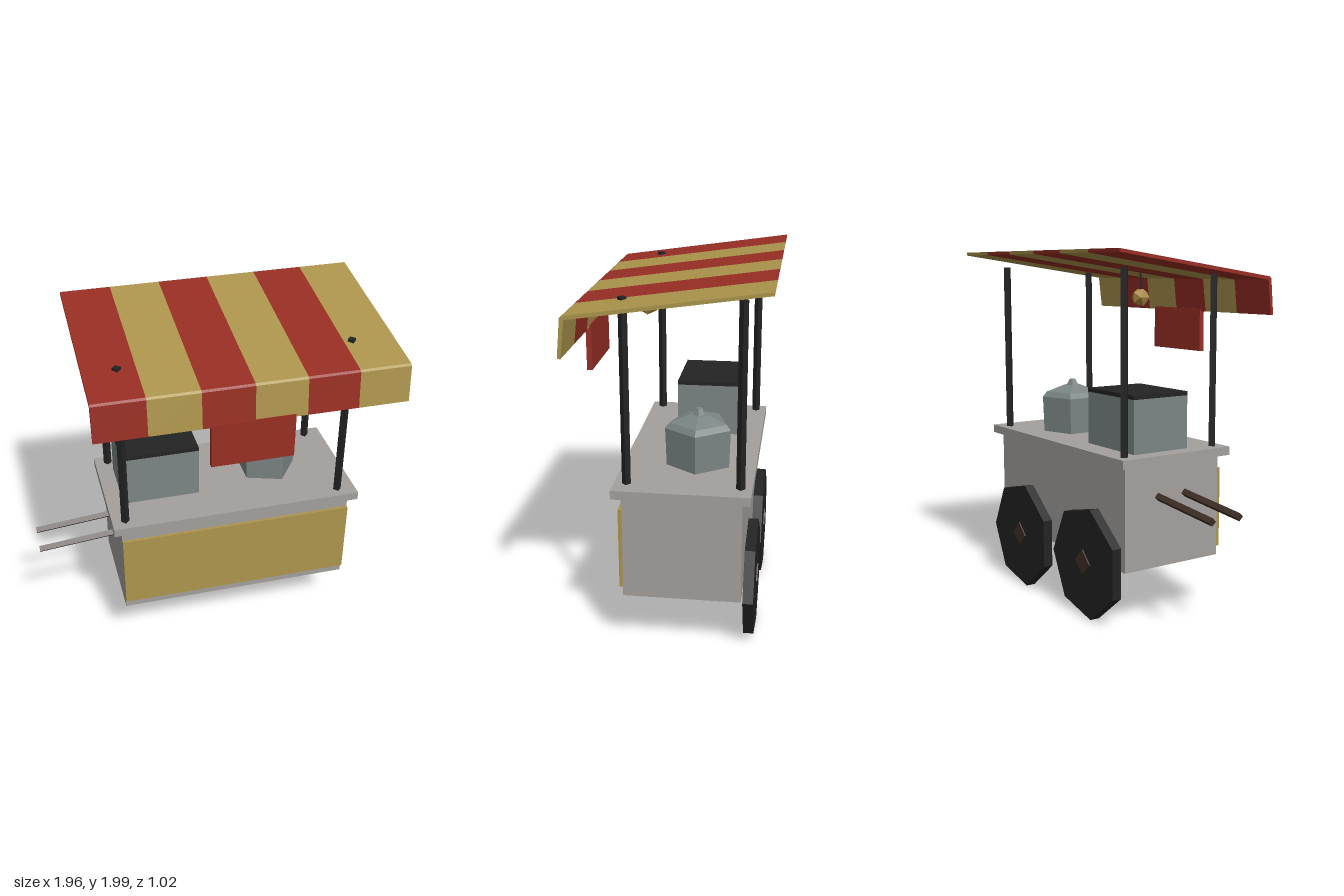
import * as THREE from 'three';

const mat = (name, color) => {
  const m = new THREE.MeshStandardMaterial({ color });
  m.name = name;
  return m;
};

export function createModel() {
  const root = new THREE.Group();
  root.name = 'foodCart';

  const red = mat('awning red', 0x982e24);
  const yellow = mat('mustard yellow', 0xad954c);
  const grey = mat('cart grey', 0xa3a09c);
  const steel = mat('steel', 0x7b8585);
  const black = mat('black', 0x232323);
  const brown = mat('dark wood', 0x3f2e26);
  const brass = mat('lamp brass', 0xa8873f);

  // Adds a faceted mesh
  const add = (name, geometry, material, x = 0, y = 0, z = 0) => {
    const g = geometry.index ? geometry.toNonIndexed() : geometry;
    g.computeVertexNormals();
    const mesh = new THREE.Mesh(g, material);
    mesh.name = name;
    mesh.position.set(x, y, z);
    root.add(mesh);
    return mesh;
  };
  // Box given by its limits on each axis
  const box = (name, material, [x0, x1], [y0, y1], [z0, z1]) =>
    add(name, new THREE.BoxGeometry(x1 - x0, y1 - y0, z1 - z0), material,
      (x0 + x1) / 2, (y0 + y1) / 2, (z0 + z1) / 2);
  // Upright prism with one corner towards +x
  const prism = (r, h, sides) =>
    new THREE.CylinderGeometry(r, r, h, sides, 1, false, Math.PI / 2);

  // Cart body, counter and front panel
  box('body', grey, [-0.53, 0.805], [0.32, 0.89], [-0.37, 0.252]);
  box('counter', grey, [-0.577, 0.848], [0.89, 0.937], [-0.415, 0.298]);
  box('frontPanel', yellow, [-0.53, 0.805], [0.37, 0.815], [0.25, 0.27]);

  // Wheels and hubs along the back
  for (const x of [-0.222, 0.491]) {
    add('wheel', prism(0.317, 0.056, 7).rotateX(Math.PI / 2), black, x, 0.315, -0.407);
    add('hub', prism(0.071, 0.075, 4).rotateX(Math.PI / 2), brown, x, 0.317, -0.405);
  }

  // Push handles
  for (const z of [-0.155, 0.023]) {
    const handle = add('handle', prism(0.022, 0.5, 4), brown, -0.73, 0.687, z);
    handle.rotation.z = -Math.PI / 2 + 0.094;
  }

  // Awning posts
  for (const x of [-0.503, 0.742]) {
    for (const z of [-0.355, 0.232]) {
      add('post', prism(0.023, 0.975, 4), black, x, 1.4225, z);
    }
  }

  // Striped awning: a bent sheet cut into six strips
  const sheet = new THREE.Shape([
    [-0.508, 2.0], [0.472, 1.862], [0.484, 1.853], [0.503, 1.655],
    [0.486, 1.655], [0.464, 1.843], [-0.506, 1.982],
  ].map(([z, y]) => new THREE.Vector2(-z, y)));
  const strip = (0.975 + 0.68) / 6;
  for (let i = 0; i < 6; i++) {
    const g = new THREE.ExtrudeGeometry(sheet, { depth: strip, bevelEnabled: false });
    add('awningStripe', g.rotateY(Math.PI / 2), i % 2 ? yellow : red, -0.68 + i * strip);
  }

  // Blank hanging sign
  box('sign', red, [-0.085, 0.36], [1.42, 1.67], [0.478, 0.508]);

  // Lamp on a cord
  add('lamp', new THREE.IcosahedronGeometry(0.057, 0), brass, 0.14, 1.735, 0.208);
  add('lampCord', prism(0.006, 0.11, 4), black, 0.14, 1.835, 0.208);

  // Cooker with a dark top
  box('cooker', steel, [-0.483, -0.043], [0.937, 1.228], [-0.28, 0.073]);
  box('cookerTop', black, [-0.483, -0.043], [1.228, 1.25], [-0.28, 0.073]);

  // Five-sided pot with domed lid and knob
  const profile = [
    [0, 0.937], [0.177, 0.937], [0.184, 1.145], [0.16, 1.175], [0.055, 1.212],
    [0.036, 1.212], [0.019, 1.246], [0, 1.246],
  ].map(([r, y]) => new THREE.Vector2(r, y));
  add('pot', new THREE.LatheGeometry(profile, 5, Math.PI / 2), steel, 0.407, 0, -0.103);

  return root;
}
